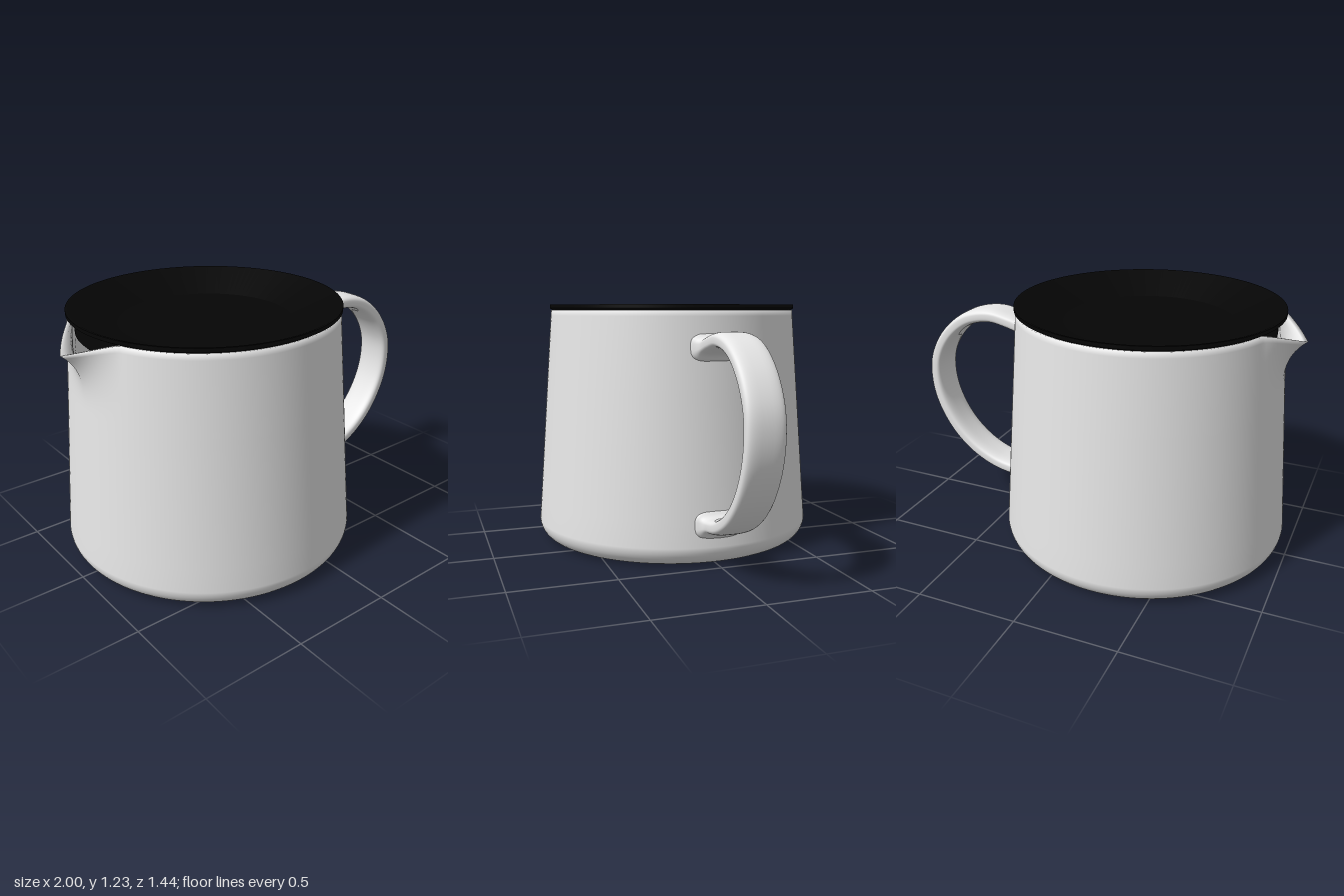
import * as THREE from 'three';
import { mergeVertices, toCreasedNormals } from 'three/addons/utils/BufferGeometryUtils.js';

const AXIS_X = -0.245;
const RIM_Y = 1.206;
const bodyRadius = (y) => 0.722 - 0.082 * (y - 0.1) / 1.1;
const V2 = (x, y) => new THREE.Vector2(x, y);

// Recompute smooth normals after welding the seam
function smooth(geometry) {
  geometry.deleteAttribute('uv');
  geometry.deleteAttribute('normal');
  const merged = mergeVertices(geometry, 1e-5);
  merged.computeVertexNormals();
  return merged;
}

// Hollow tapered jug, with the rim pulled out to a pouring lip on the -x side
function bodyGeometry() {
  const pts = [V2(0, 0.005), V2(0.61, 0.005), V2(0.63, 0.004)];
  for (let i = 1; i <= 10; i++) {
    const a = (i / 10) * Math.PI / 2;
    pts.push(V2(0.63 + 0.092 * Math.sin(a), 0.1 - 0.096 * Math.cos(a)));
  }
  for (let i = 1; i <= 6; i++) pts.push(V2(bodyRadius(0.1 + 0.12 * i), 0.1 + 0.12 * i));
  for (let i = 1; i <= 14; i++) {
    const y = 0.82 + (RIM_Y - 0.82) * i / 14;
    pts.push(V2(bodyRadius(y), y));
  }
  for (let i = 0; i <= 10; i++) {
    const y = RIM_Y - 0.38 * i / 10;
    pts.push(V2(bodyRadius(y) - 0.022, y));
  }
  pts.push(V2(0.68, 0.12), V2(0.62, 0.05), V2(0, 0.05));

  const g = new THREE.LatheGeometry(pts, 192);
  const p = g.attributes.position;
  for (let i = 0; i < p.count; i++) {
    const x = p.getX(i), y = p.getY(i), z = p.getZ(i);
    const r = Math.hypot(x, z);
    const w = Math.max(0, 1 - Math.abs(Math.atan2(z, -x)) / 0.36) ** 1.25;
    const t = Math.max(0, (y - 0.85) / (RIM_Y - 0.85));
    if (w > 0 && t > 0 && r > 0) {
      const k = (r + 0.117 * w * t ** 2.6) / r;
      p.setXYZ(i, x * k, y - 0.072 * w * t * t, z * k);
    }
  }
  return smooth(g);
}

// Strap handle with soft edges, filleted into the body
function handleGeometry() {
  const path = new THREE.CatmullRomCurve3([
    [0.36, 1.03], [0.43, 1.04], [0.5, 1.059], [0.61, 1.076], [0.75, 1.043], [0.87, 0.948],
    [0.945, 0.82], [0.962, 0.7], [0.937, 0.56], [0.86, 0.415], [0.75, 0.305], [0.62, 0.236],
    [0.5, 0.21], [0.43, 0.205],
  ].map(([x, y]) => new THREE.Vector3(x, y, 0)), false, 'centripetal');
  const rings = 240, sides = 48, pos = [], idx = [];
  const soft = (v) => Math.sign(v) * Math.abs(v) ** 0.6;
  for (let i = 0; i <= rings; i++) {
    const c = path.getPointAt(i / rings), t = path.getTangentAt(i / rings);
    for (let j = 0; j < sides; j++) {
      const a = (j / sides) * Math.PI * 2, ca = Math.cos(a), sa = Math.sin(a);
      const u = 0.036 * soft(ca), v = 0.09 * soft(sa);
      // Widen each point by its own distance from the body wall
      const x = c.x - t.y * u, y = c.y + t.x * u;
      const gap = Math.hypot(x - AXIS_X, v) - bodyRadius(y);
      const flare = 0.03 * THREE.MathUtils.clamp(1 - gap / 0.06, 0, 1) ** 3;
      pos.push(x - t.y * flare * soft(ca), y + t.x * flare * soft(ca), v + flare * soft(sa));
      if (i < rings) {
        const k = i * sides + j, n = i * sides + (j + 1) % sides;
        idx.push(k, k + sides, n, n, k + sides, n + sides);
      }
    }
  }
  const g = new THREE.BufferGeometry();
  g.setAttribute('position', new THREE.Float32BufferAttribute(pos, 3));
  g.setIndex(idx);
  g.computeVertexNormals();
  return g;
}

// Dished lid: thin rim, sloping down to a flat centre, with a plug below
function lidGeometry() {
  const pts = [
    V2(0, 1.115), V2(0.6, 1.115), V2(0.61, 1.125), V2(0.61, 1.207), V2(0.632, 1.207), V2(0.646, 1.215),
    V2(0.646, 1.233), V2(0.636, 1.233), V2(0.415, 1.146), V2(0, 1.146),
  ];
  return toCreasedNormals(new THREE.LatheGeometry(pts, 128), 0.3);
}

export function createModel() {
  const ceramic = new THREE.MeshStandardMaterial({ color: 0xe7e7e7, side: THREE.DoubleSide });
  ceramic.name = 'pale grey ceramic';
  const black = new THREE.MeshStandardMaterial({ color: 0x050505 });
  black.name = 'black lid';

  const model = new THREE.Group();
  model.name = 'jug';
  const add = (name, geometry, material, x = 0) => {
    const mesh = new THREE.Mesh(geometry, material);
    mesh.name = name;
    mesh.position.x = x;
    model.add(mesh);
  };
  add('body', bodyGeometry(), ceramic, AXIS_X);
  add('handle', handleGeometry(), ceramic);
  add('lid', lidGeometry(), black, AXIS_X);
  return model;
}
